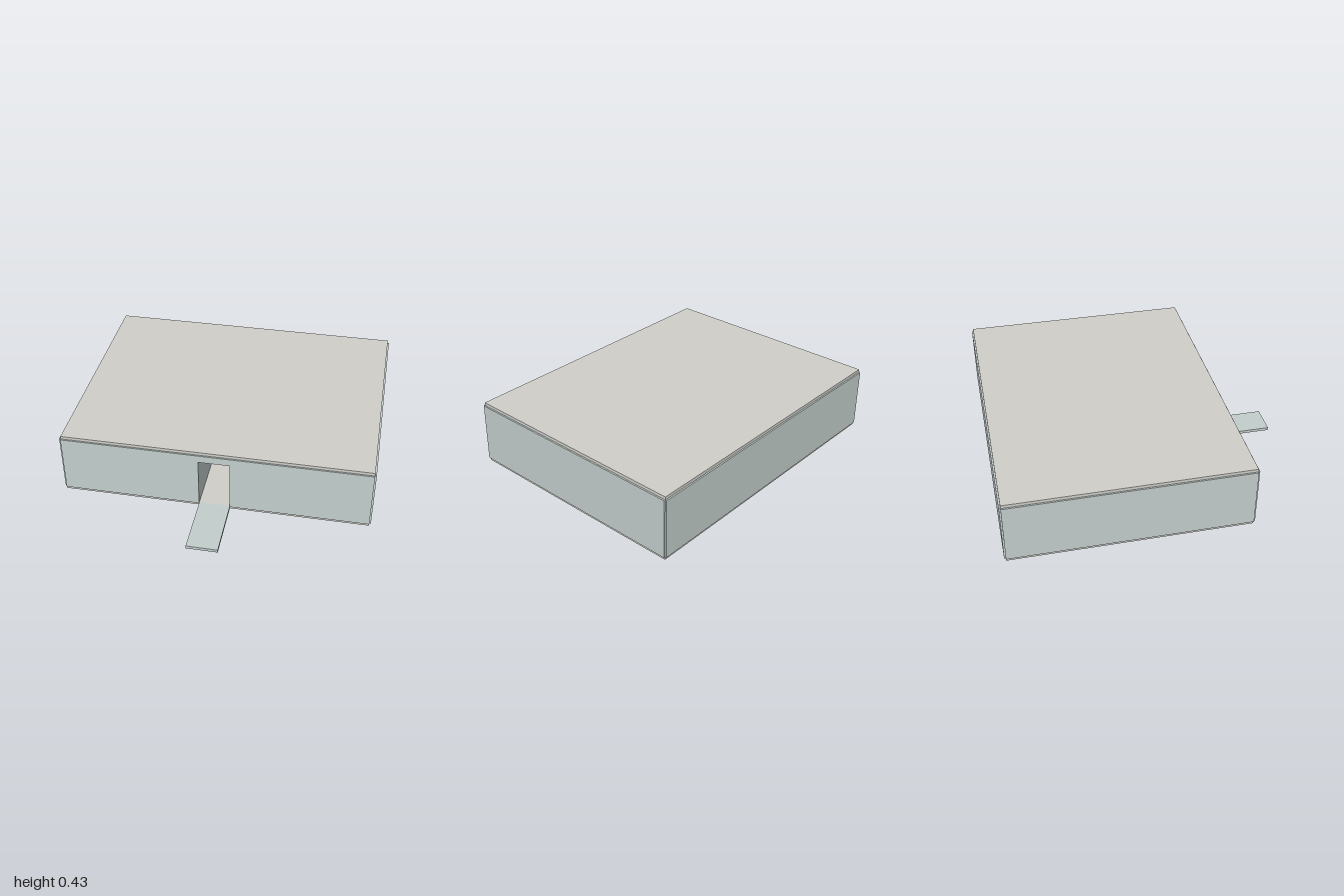
import * as THREE from 'three';

const W = 1.98, BACK = -0.96, FRONT = 0.565, T = 0.02; // slab footprint and panel thickness
const FLOOR = 0.02, TOP = 0.41, DOOR_W = 0.2, DOOR_TOP = 0.36;

export function createModel() {
  const group = new THREE.Group();
  const slabMat = new THREE.MeshStandardMaterial({ color: 0xd0cfc9 });
  const wallMat = new THREE.MeshStandardMaterial({ color: 0xc3cecc });

  const add = (name, geometry, material, x, y, z) => {
    const mesh = new THREE.Mesh(geometry, material);
    mesh.name = name;
    mesh.position.set(x, y, z);
    group.add(mesh);
  };
  const depth = FRONT - BACK, midZ = (FRONT + BACK) / 2;
  const wallH = TOP - FLOOR, wallY = (TOP + FLOOR) / 2;

  // Floor and roof slabs, slightly inside the outer wall faces
  for (const [name, y] of [['floor', T / 2], ['roof', TOP + T / 2]])
    add(name, new THREE.BoxGeometry(W, T, depth), slabMat, 0, y, midZ);

  // Back wall, and side walls centred on the slab edges
  add('backWall', new THREE.BoxGeometry(W, wallH, T), wallMat, 0, wallY, BACK);
  for (const [name, s] of [['leftWall', 1], ['rightWall', -1]])
    add(name, new THREE.BoxGeometry(T, wallH, depth), wallMat, s * W / 2, wallY, midZ);

  // Front wall outline with the doorway cut up from its bottom edge
  const h = DOOR_W / 2;
  const outline = [[-W / 2, FLOOR], [-h, FLOOR], [-h, DOOR_TOP], [h, DOOR_TOP],
    [h, FLOOR], [W / 2, FLOOR], [W / 2, TOP], [-W / 2, TOP]];
  const shape = new THREE.Shape(outline.map(([x, y]) => new THREE.Vector2(x, y)));
  add('frontWall', new THREE.ExtrudeGeometry(shape, { depth: T, bevelEnabled: false }),
    wallMat, 0, 0, FRONT - T / 2);

  // Entrance passage: a walkway running in from outside between two inner walls
  const inner = 0.4;
  for (const [name, s] of [['leftPassageWall', 1], ['rightPassageWall', -1]])
    add(name, new THREE.BoxGeometry(T, wallH, inner), wallMat,
      s * (h + T / 2), wallY, FRONT - T / 2 - inner / 2);
  add('entranceWalkway', new THREE.BoxGeometry(DOOR_W, T, 0.97 - FRONT), wallMat,
    0, T / 2, (0.97 + FRONT) / 2);

  return group;
}
